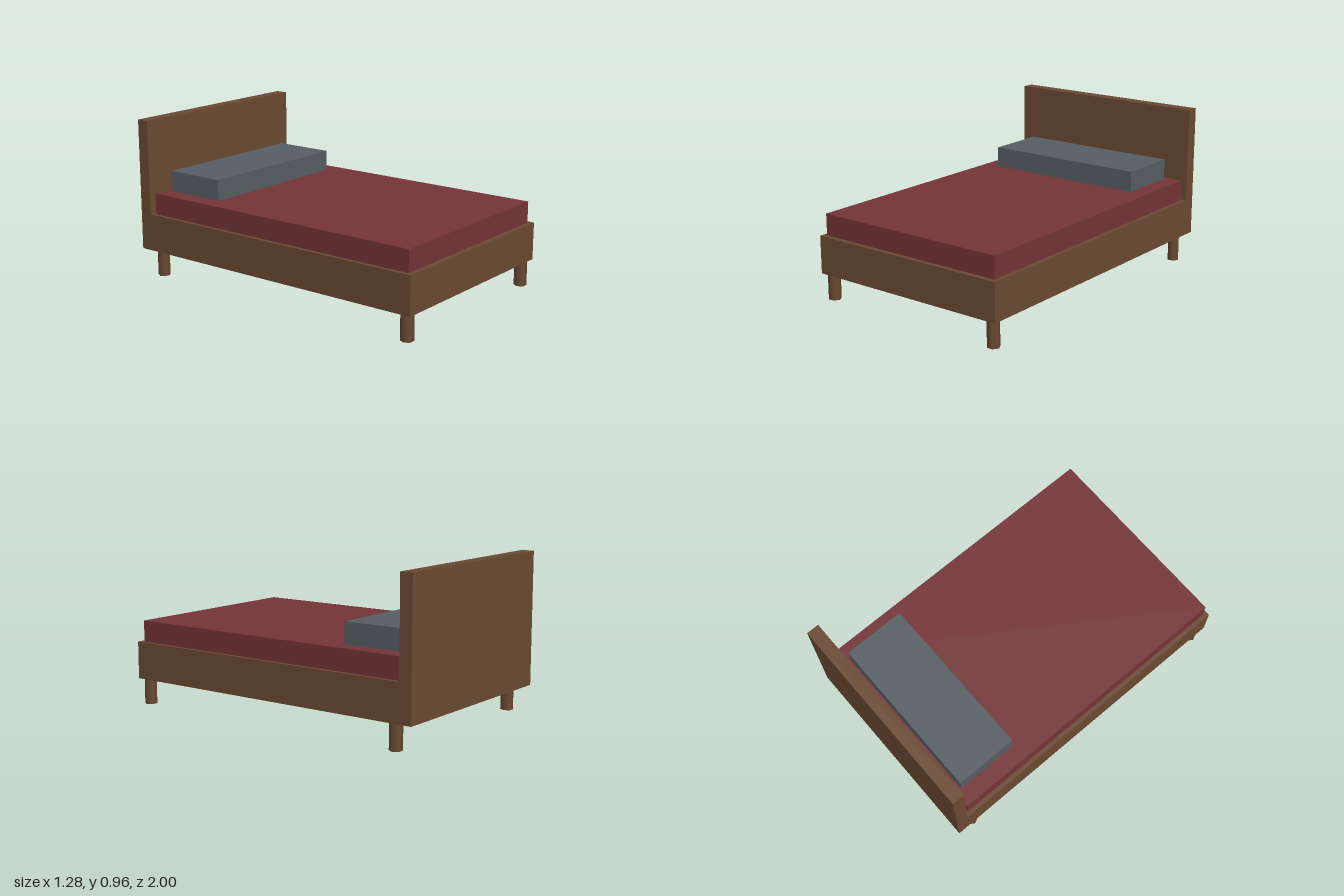
import * as THREE from 'three';

export function createModel() {
  const bed = new THREE.Group();
  bed.name = 'bed';
  const material = (name, color) => {
    const m = new THREE.MeshStandardMaterial({ color });
    m.name = name;
    return m;
  };
  const wood = material('brown wood', 0x6b4a32);
  const red = material('dark red fabric', 0x753437);
  const grey = material('slate grey fabric', 0x565f64);

  // Box given by half width, bottom and top, back and front
  const addBox = (name, mat, halfX, y0, y1, z0, z1) => {
    const mesh = new THREE.Mesh(new THREE.BoxGeometry(halfX * 2, y1 - y0, z1 - z0), mat);
    mesh.position.set(0, (y0 + y1) / 2, (z0 + z1) / 2);
    mesh.name = name;
    bed.add(mesh);
  };
  addBox('frame', wood, 0.64, 0.157, 0.385, -1, 1);
  addBox('headboard', wood, 0.64, 0.385, 0.962, -1, -0.923);
  addBox('mattress', red, 0.615, 0.385, 0.515, -0.9, 0.97);
  addBox('pillow', grey, 0.512, 0.515, 0.642, -0.86, -0.475);

  // Six-sided legs with smooth normals, corners pointing sideways
  const legGeometry = new THREE.CylinderGeometry(0.038, 0.038, 0.157, 6);
  legGeometry.rotateY(Math.PI / 6);
  for (const [side, x] of [['Left', 0.59], ['Right', -0.59]]) {
    for (const [end, z] of [['front', 0.95], ['back', -0.872]]) {
      const leg = new THREE.Mesh(legGeometry, wood);
      leg.position.set(x, 0.0785, z);
      leg.name = `${end}${side}Leg`;
      bed.add(leg);
    }
  }
  return bed;
}
